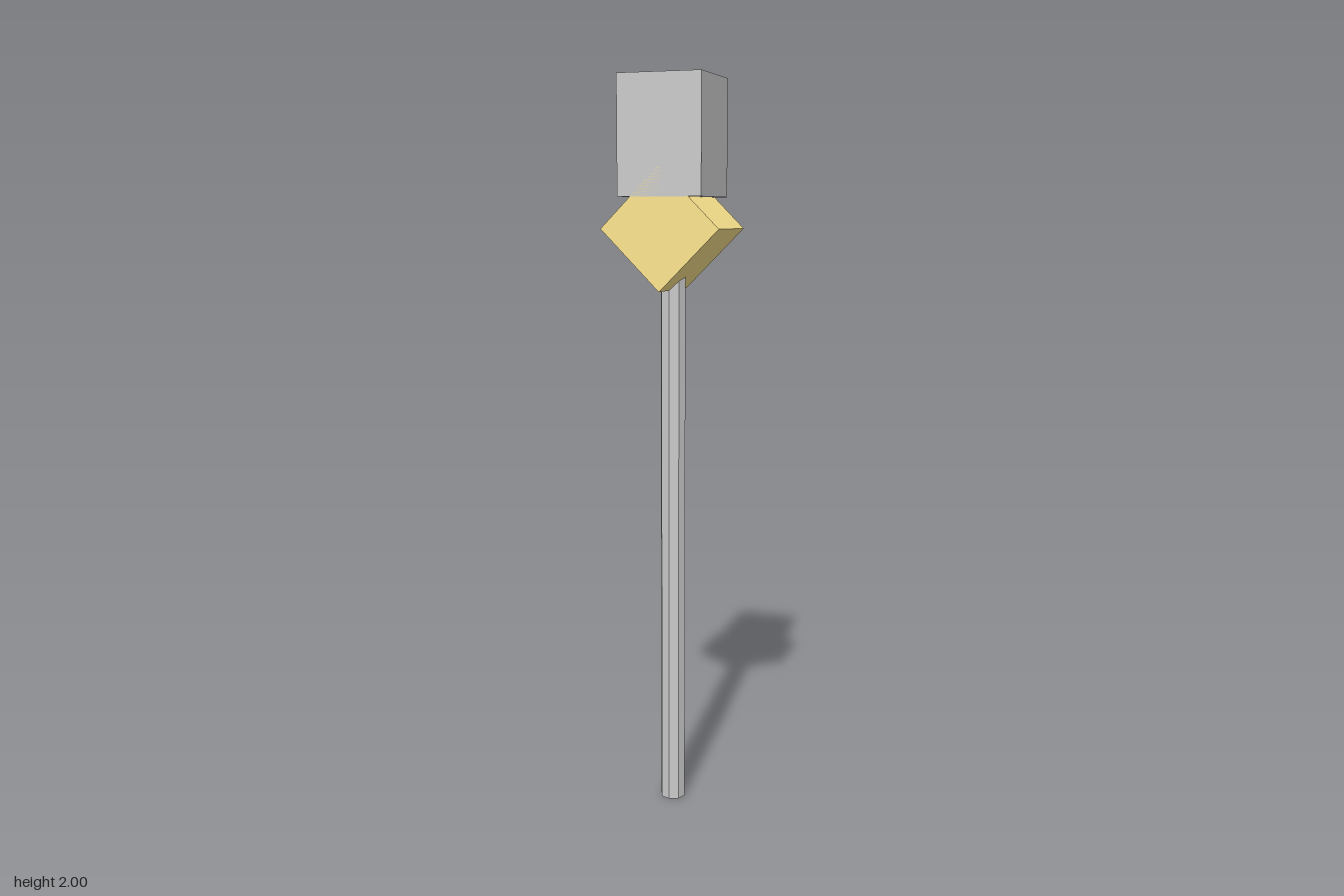
import * as THREE from 'three';

export function createModel() {
  const group = new THREE.Group();
  const grey = new THREE.MeshStandardMaterial({ color: 0xcccccc, flatShading: true });
  const gold = new THREE.MeshStandardMaterial({ color: 0xfde68f });

  const add = (name, geometry, material, y) => {
    const mesh = new THREE.Mesh(geometry, material);
    mesh.name = name;
    mesh.position.y = y;
    group.add(mesh);
    return mesh;
  };

  const side = 0.23;

  // Eight-sided pole, its top buried in the collar
  const poleHeight = 1.6;
  add('pole', new THREE.CylinderGeometry(0.035, 0.035, poleHeight, 8), grey, poleHeight / 2);

  // Cube turned on its edge
  add('collar', new THREE.BoxGeometry(side, side, side), gold, 1.605).rotation.z = Math.PI / 4;

  // Upright block on top
  const headHeight = 0.312;
  add('head', new THREE.BoxGeometry(side, headHeight, side), grey, 2 - headHeight / 2);

  return group;
}
